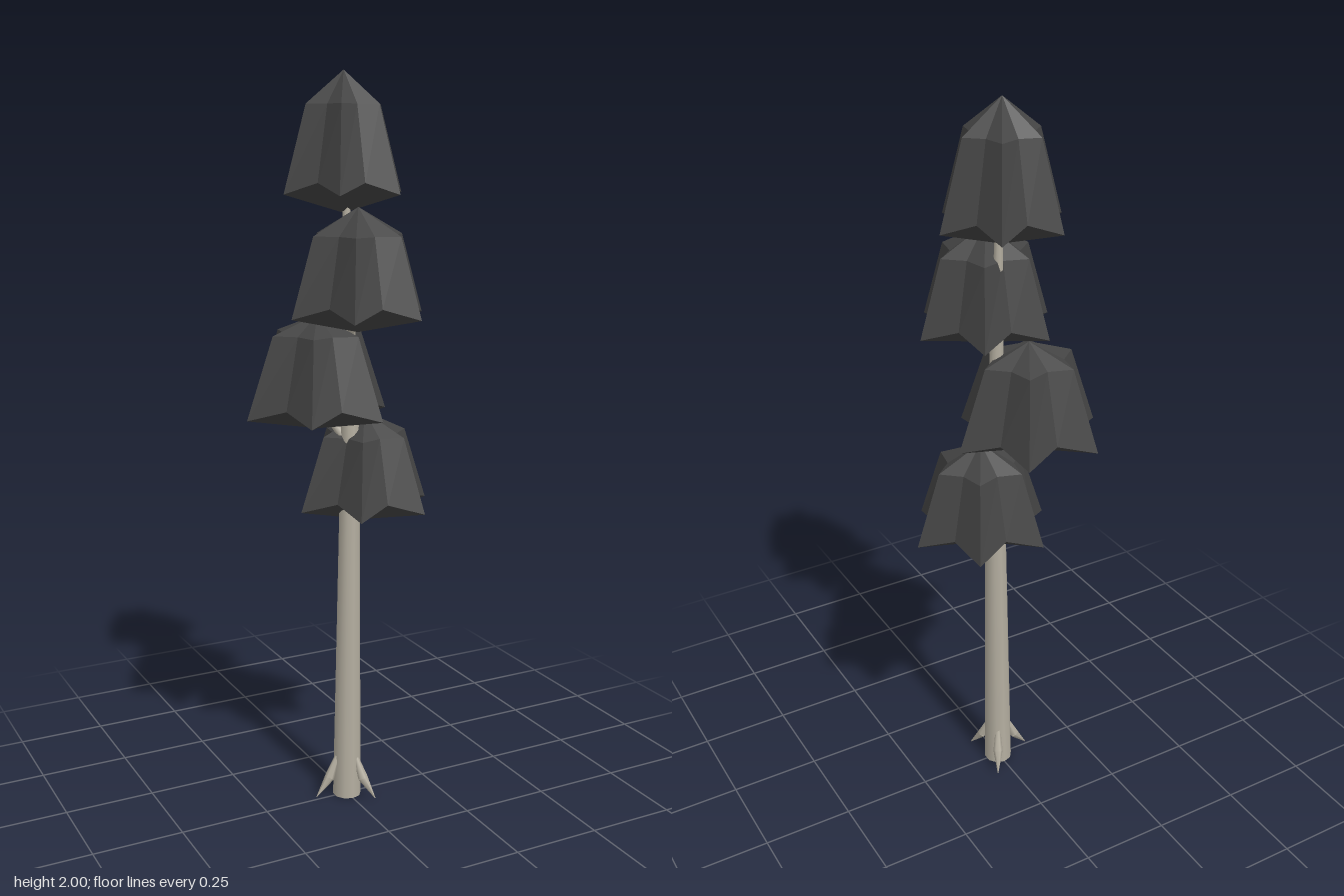
import * as THREE from 'three';

const bark = new THREE.MeshStandardMaterial({ color: 0xb4aea0 });
bark.name = 'pale bark';
const foliage = new THREE.MeshStandardMaterial({ color: 0x444444, flatShading: true });
foliage.name = 'dark foliage';

// Tapered round limb from point a to point b
function limb(name, a, b, ra, rb, sides) {
  const from = new THREE.Vector3(...a), to = new THREE.Vector3(...b);
  const dir = to.clone().sub(from);
  const mesh = new THREE.Mesh(new THREE.CylinderGeometry(rb, ra, dir.length(), sides), bark);
  mesh.name = name;
  mesh.position.copy(from).add(to).multiplyScalar(0.5);
  mesh.quaternion.setFromUnitVectors(new THREE.Vector3(0, 1, 0), dir.normalize());
  return mesh;
}

// Six-pointed bell: apex, star-shaped shoulder, star-shaped rim, low centre underneath
function crown({ x, z, top, shoulderY, shoulderR, rimY, rimR, base }) {
  const n = 12, pos = [x, top, z];
  for (const [r, y, lift] of [[shoulderR, shoulderY, 0], [rimR, rimY, 0.03]]) {
    for (let i = 0; i < n; i++) {
      const valley = i % 2, a = (i / n) * Math.PI * 2;
      const rr = valley ? r * 0.7 : r;
      pos.push(x + Math.cos(a) * rr, y + valley * lift, z + Math.sin(a) * rr);
    }
  }
  pos.push(x, base, z);
  const index = [];
  for (let i = 0; i < n; i++) {
    const j = (i + 1) % n;
    const s0 = 1 + i, s1 = 1 + j, r0 = 1 + n + i, r1 = 1 + n + j;
    index.push(0, s1, s0, s0, s1, r1, s0, r1, r0, r0, r1, 1 + 2 * n);
  }
  const geo = new THREE.BufferGeometry();
  geo.setAttribute('position', new THREE.Float32BufferAttribute(pos, 3));
  geo.setIndex(index);
  const flat = geo.toNonIndexed();
  flat.computeVertexNormals();
  const mesh = new THREE.Mesh(flat, foliage);
  mesh.name = 'crown';
  return mesh;
}

export function createModel() {
  const tree = new THREE.Group();
  tree.name = 'tree';

  // Trunk: long lower stem and thin upper stem
  tree.add(limb('lowerTrunk', [0, 0, 0], [0.01, 1.02, 0], 0.04, 0.026, 10));
  tree.add(limb('upperTrunk', [0.01, 1.02, 0], [0.008, 1.72, -0.02], 0.026, 0.009, 10));

  // Three pointed roots
  for (const deg of [60, 180, 300]) {
    const c = Math.cos(deg * Math.PI / 180), s = Math.sin(deg * Math.PI / 180);
    const at = (r, y) => [c * r, y, s * r];
    const root = new THREE.Group();
    root.name = 'root';
    root.add(limb('rootUpper', at(0.03, 0.12), at(0.055, 0.06), 0.007, 0.014, 6));
    root.add(limb('rootTip', at(0.055, 0.06), at(0.096, 0.008), 0.014, 0.001, 6));
    tree.add(root);
  }

  // Short branches reaching into the offset crowns
  tree.add(limb('branch', [0.01, 0.78, 0], [0.07, 0.9, -0.03], 0.014, 0.008, 6));
  tree.add(limb('branch', [0.01, 1.02, 0], [-0.06, 1.14, -0.055], 0.014, 0.008, 6));
  tree.add(limb('branch', [0.01, 1.31, -0.01], [0, 1.42, 0.07], 0.012, 0.007, 6));

  // Four crowns, lowest first
  const crowns = [
    { x: 0.07, z: -0.03, top: 1.105, shoulderY: 1.045, shoulderR: 0.125, rimY: 0.842, rimR: 0.193, base: 0.80 },
    { x: -0.06, z: -0.055, top: 1.375, shoulderY: 1.325, shoulderR: 0.13, rimY: 1.105, rimR: 0.207, base: 1.066 },
    { x: -0.003, z: 0.07, top: 1.66, shoulderY: 1.59, shoulderR: 0.128, rimY: 1.383, rimR: 0.19, base: 1.34 },
    { x: 0.006, z: -0.03, top: 2.0, shoulderY: 1.915, shoulderR: 0.108, rimY: 1.69, rimR: 0.172, base: 1.64 },
  ];
  for (const c of crowns) tree.add(crown(c));
  return tree;
}
